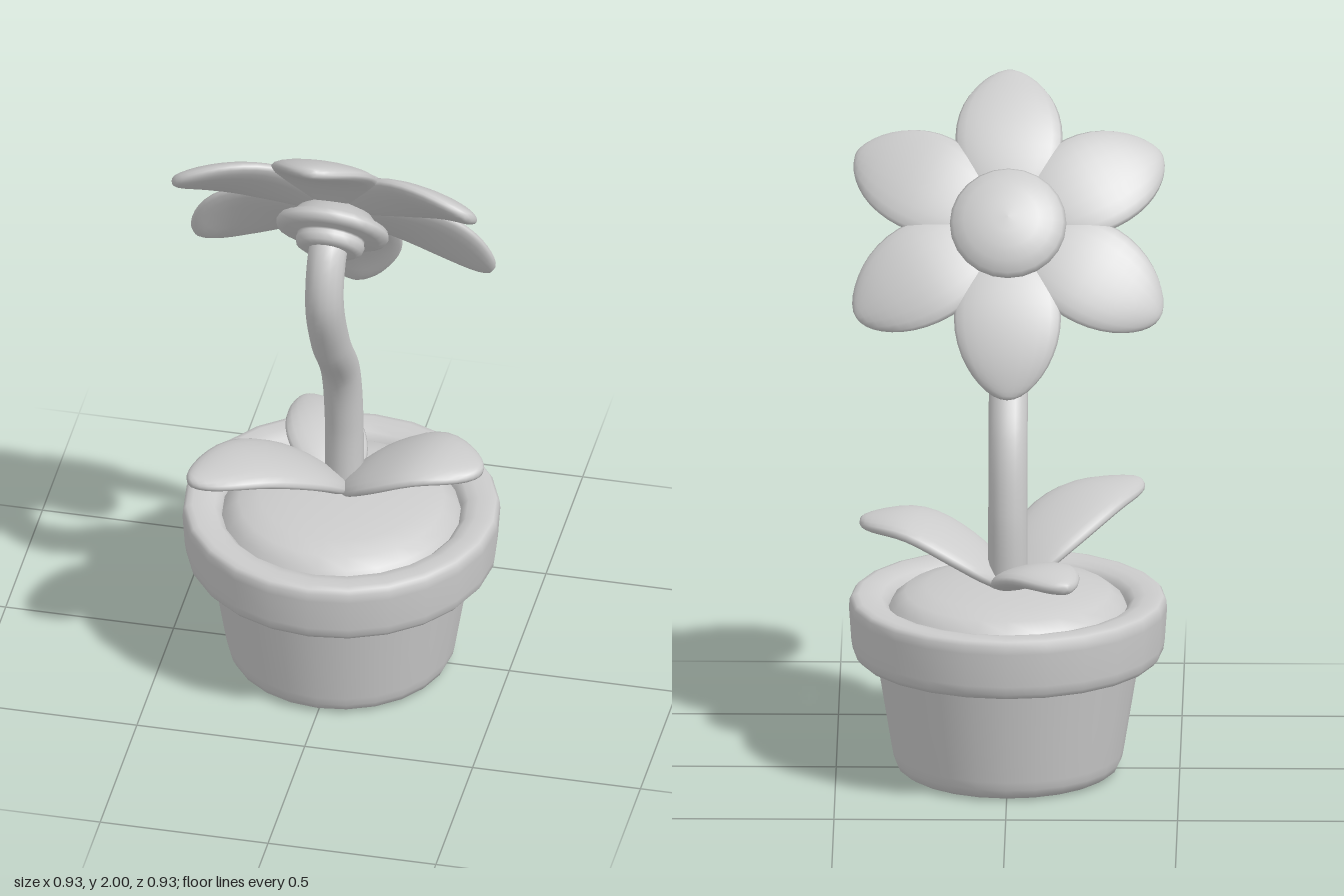
import * as THREE from 'three';
import { mergeVertices } from 'three/addons/utils/BufferGeometryUtils.js';

const material = new THREE.MeshStandardMaterial({ color: 0xcccccc });

function add(parent, name, geometry) {
  const mesh = new THREE.Mesh(geometry, material);
  mesh.name = name;
  parent.add(mesh);
  return mesh;
}

// Turned part from [radius, height] pairs, listed from bottom to top
function turned(profile, sides = 24) {
  return new THREE.LatheGeometry(profile.map(([r, y]) => new THREE.Vector2(r, y)), sides);
}

// Plump petal or leaf: a sphere stretched along a curve of [out, up] points
function blade(path, halfWidth, halfThickness) {
  const curve = new THREE.CatmullRomCurve3(path.map(([x, y]) => new THREE.Vector3(x, y, 0)));
  let geo = new THREE.SphereGeometry(1, 20, 20);
  geo.deleteAttribute('uv');
  geo.deleteAttribute('normal');
  geo = mergeVertices(geo, 1e-4);
  const pos = geo.attributes.position;
  for (let i = 0; i < pos.count; i++) {
    const along = THREE.MathUtils.clamp(pos.getY(i), -1, 1);
    const t = (along + 1) / 2;
    const p = curve.getPoint(t);
    const d = curve.getTangent(t);
    const taper = along > 0 ? 1 - 0.18 * along * along : 1;
    // Keeps the thickness nearly even, with blunt ends
    const blunt = Math.pow(Math.sqrt(1 - along * along) + 0.001, -0.45);
    const h = pos.getZ(i) * halfThickness * blunt;
    pos.setXYZ(i, p.x - d.y * h, p.y + d.x * h, pos.getX(i) * halfWidth * taper);
  }
  geo.computeVertexNormals();
  return geo;
}

export function createModel() {
  const model = new THREE.Group();
  model.name = 'pottedFlower';

  // Pot, rolled rim and mound of soil
  add(model, 'pot', turned([
    [0, 0], [0.29, 0], [0.305, 0.003], [0.322, 0.014], [0.332, 0.035],
    [0.337, 0.06], [0.36, 0.2], [0.386, 0.36],
  ]));
  add(model, 'potRim', turned([
    [0.34, 0.35], [0.37, 0.345], [0.42, 0.345], [0.44, 0.35], [0.452, 0.365], [0.456, 0.39],
    [0.463, 0.49], [0.461, 0.515], [0.452, 0.527], [0.435, 0.531], [0.40, 0.53],
    [0.37, 0.522], [0.352, 0.505], [0.345, 0.48], [0.34, 0.42],
  ]));
  add(model, 'soil', turned([
    [0.36, 0.47], [0.335, 0.515], [0.3, 0.541], [0.24, 0.558], [0.16, 0.568], [0.08, 0.573], [0, 0.575],
  ]));

  // S-shaped stem
  const stemPath = new THREE.CatmullRomCurve3([
    [0.52, -0.04], [0.8, -0.037], [1.0, 0.01], [1.2, 0.15],
    [1.4, 0.232], [1.53, 0.2], [1.6, 0.11],
  ].map(([y, z]) => new THREE.Vector3(0, y, z)));
  add(model, 'stem', new THREE.TubeGeometry(stemPath, 40, 0.057, 16));

  // Three leaves around the foot of the stem, each turned to its own heading
  const leaves = [
    { name: 'leftLeaf', x: 1, z: 0.2, width: 0.15, path: [[0, 0.57], [0.13, 0.665], [0.28, 0.735], [0.44, 0.735]] },
    { name: 'rightLeaf', x: -0.35, z: 0.34, width: 0.14, path: [[0, 0.57], [0.15, 0.685], [0.33, 0.76], [0.53, 0.77]] },
    { name: 'backLeaf', x: -0.17, z: -0.28, width: 0.115, path: [[0, 0.57], [0.1, 0.62], [0.21, 0.652], [0.345, 0.648]] },
  ];
  for (const { name, x, z, width, path } of leaves) {
    const leaf = add(model, name, blade(path, width, 0.035));
    leaf.position.z = -0.03;
    leaf.rotation.y = Math.atan2(-z, x);
  }

  // Flower head, tipped up and towards the back
  const flower = new THREE.Group();
  flower.name = 'flower';
  flower.position.set(0, 1.563, 0.145);
  flower.rotation.x = -0.908;
  model.add(flower);

  // Two-tier collar under the petals
  add(flower, 'collar', turned([
    [0, -0.042], [0.08, -0.04], [0.097, -0.03], [0.102, -0.012], [0.098, 0], [0.1, 0.006],
    [0.14, 0.006], [0.16, 0.014], [0.167, 0.03], [0.16, 0.046], [0.13, 0.058], [0.1, 0.09], [0, 0.12],
  ]));

  // Domed centre
  add(flower, 'flowerCentre', turned([
    [0, 0.11], [0.13, 0.115], [0.16, 0.13], [0.17, 0.148], [0.16, 0.166],
    [0.13, 0.186], [0.09, 0.2], [0.045, 0.208], [0, 0.21],
  ]));

  // Six petals drooping at the tips
  const petalPath = [[0.05, 0.1], [0.165, 0.115], [0.28, 0.112], [0.4, 0.085], [0.51, 0.042]];
  const petalShape = blade(petalPath, 0.156, 0.033);
  for (let i = 0; i < 6; i++) {
    add(flower, 'petal', petalShape).rotation.y = Math.PI / 2 + (i * Math.PI) / 3;
  }
  return model;
}
